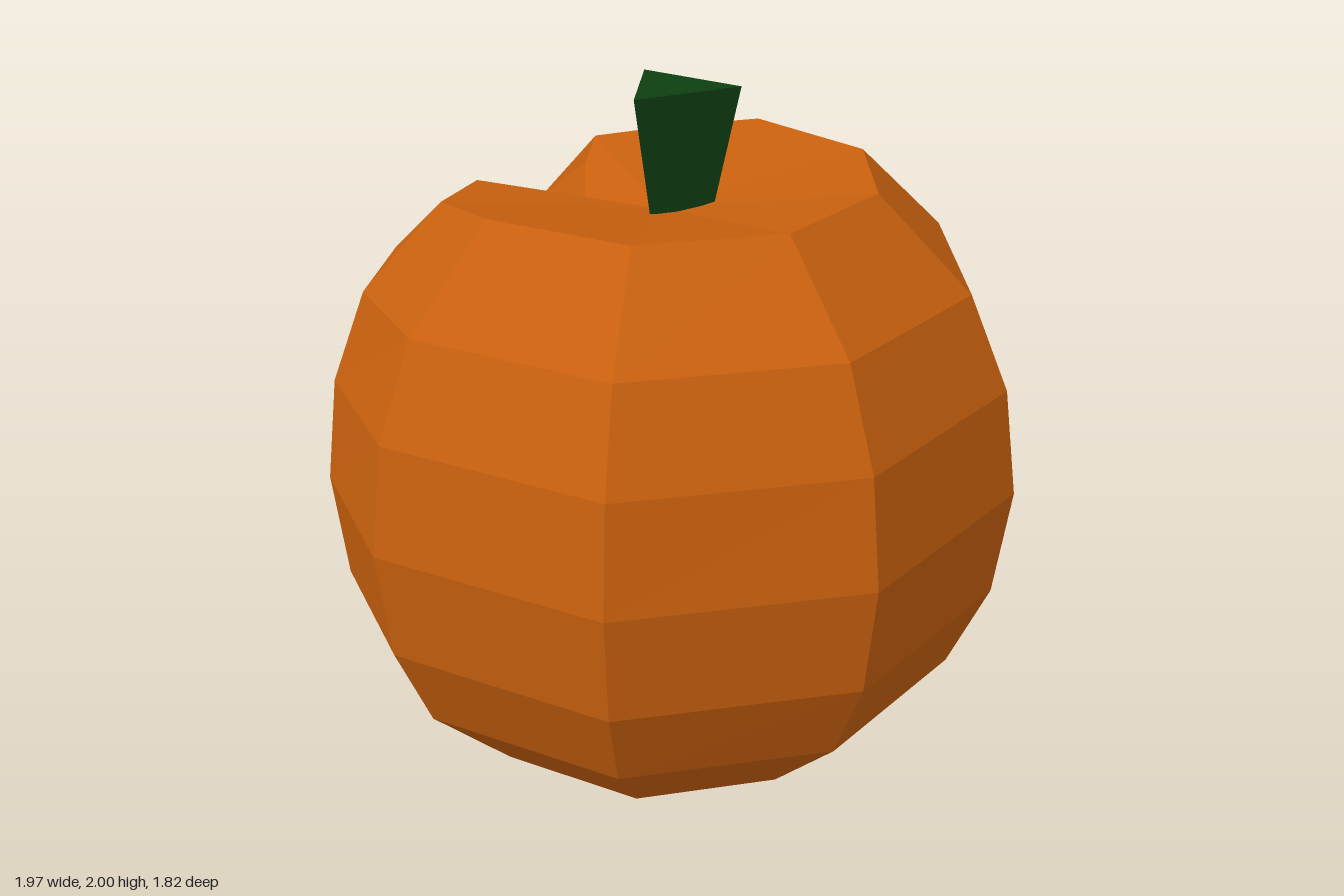
import * as THREE from 'three';

// One entry per vertical rib edge, counter-clockwise seen from above:
// [waist x, waist z, rim x, rim z, height factor]
const RIBS = [
  [-0.34, 0.91, -0.2, 0.52, 1],
  [0.34, 0.91, 0.2, 0.52, 1],
  [0.87, 0.47, 0.51, 0.27, 1],
  [0.985, -0.2, 0.58, -0.14, 1],
  [0.7, -0.6, 0.44, -0.34, 0.97],
  [0.37, -0.91, 0.24, -0.48, 0.957],
  [0.2, -0.91, 0.16, -0.45, 0.89],
  [0, -0.81, 0, -0.32, 0.79], // bottom of the back groove
  [-0.2, -0.905, -0.16, -0.47, 0.86],
  [-0.36, -0.91, -0.27, -0.47, 0.95],
  [-0.74, -0.63, -0.5, -0.38, 0.97],
  [-0.985, -0.2, -0.58, -0.14, 1],
  [-0.87, 0.47, -0.51, 0.27, 1],
];

// Rows from bottom rim to top rim: [height, bulge from rim (0) to waist (1)]
const ROWS = [[0.14, 0], [0.39, 0.63], [0.64, 0.9], [0.95, 1], [1.25, 0.9], [1.51, 0.63], [1.76, 0]];
const WAIST_Y = 0.95;

function bodyGeometry() {
  const n = RIBS.length;
  const positions = [];
  const index = [];
  for (const [y, bulge] of ROWS) {
    for (const [wx, wz, rx, rz, k] of RIBS) {
      positions.push(
        THREE.MathUtils.lerp(rx, wx, bulge),
        WAIST_Y + (y - WAIST_Y) * k,
        THREE.MathUtils.lerp(rz, wz, bulge)
      );
    }
  }
  const bottom = positions.length / 3;
  const top = bottom + 1;
  positions.push(0, 0, -0.045, 0, 1.655, -0.045);

  const last = (ROWS.length - 1) * n;
  for (let c = 0; c < n; c++) {
    const d = (c + 1) % n;
    // side panels
    for (let r = 0; r < last; r += n) {
      index.push(r + c, r + d, r + n + d, r + c, r + n + d, r + n + c);
    }
    // pointed underside and sunken top
    index.push(bottom, d, c, top, last + c, last + d);
  }
  const indexed = new THREE.BufferGeometry();
  indexed.setAttribute('position', new THREE.Float32BufferAttribute(positions, 3));
  indexed.setIndex(index);
  const geometry = indexed.toNonIndexed();
  geometry.computeVertexNormals();
  return geometry;
}

export function createModel() {
  const orange = new THREE.MeshStandardMaterial({ color: 0xc8600e, flatShading: true });
  orange.name = 'pumpkin orange';
  const green = new THREE.MeshStandardMaterial({ color: 0x0f3f12, flatShading: true });
  green.name = 'stem green';

  const model = new THREE.Group();
  model.name = 'pumpkin';

  const body = new THREE.Mesh(bodyGeometry(), orange);
  body.name = 'body';
  model.add(body);

  // three-sided stem, wider at the top
  const stem = new THREE.Mesh(
    new THREE.CylinderGeometry(0.18, 0.095, 0.4, 3, 1, false, THREE.MathUtils.degToRad(34)),
    green
  );
  stem.name = 'stem';
  stem.position.set(0.01, 1.8, -0.01);
  model.add(stem);

  return model;
}
